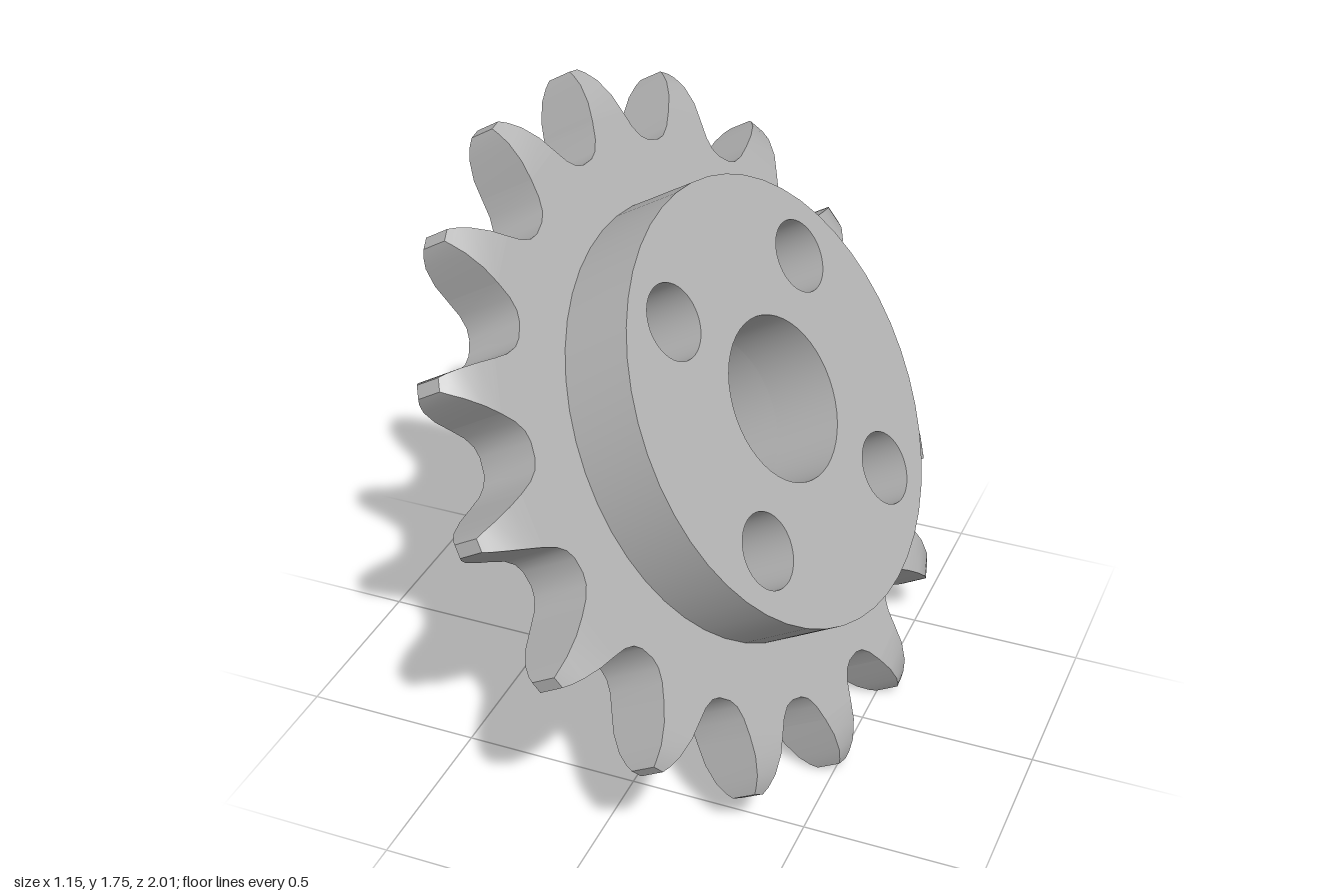
import * as THREE from 'three';
import { toCreasedNormals } from 'three/addons/utils/BufferGeometryUtils.js';

const TEETH = 16, STEP = (Math.PI * 2) / TEETH;
const BACK = -0.094, FRONT = 0.085, HUB_FACE = 0.294; // positions along the axle
const deg = Math.PI / 180;

// Tooth flank: radius, half angle in degrees, thickness factor
const FLANK = [
  [0.87, 4.6, 1], [0.92, 3.4, 0.97], [0.97, 2.25, 0.8], [1.0, 1.5, 0.58], [1.015, 1.0, 0.42],
];
// Valley between teeth: radius, angle from the tooth centre in degrees
const VALLEY = [[0.87, 4.6], [0.825, 6.0], [0.797, 7.7], [0.785, 9.7]];

const polar = (r, a) => new THREE.Vector2(r * Math.sin(a), r * Math.cos(a));

// Axle bore and four bolt holes
function addHoles(shape) {
  const hole = (x, y, r) => shape.holes.push(new THREE.Path().absarc(x, y, r, 0, Math.PI * 2, true));
  hole(0, 0, 0.23);
  for (let i = 0; i < 4; i++) {
    const c = polar(0.45, -35.5 * deg + (i * Math.PI) / 2);
    hole(c.x, c.y, 0.104);
  }
  return shape;
}

function extrude(shape, from, to, curveSegments) {
  const geo = new THREE.ExtrudeGeometry(shape, { depth: to - from, bevelEnabled: false, curveSegments });
  geo.translate(0, 0, from);
  return toCreasedNormals(geo, 0.6);
}

// Plate outline, counter-clockwise: rounded valleys, straight chords where the teeth attach
function plateShape() {
  const pts = [];
  for (let i = 0; i < TEETH; i++) {
    const a = -(i + 0.5) * STEP;
    VALLEY.forEach(([r, d]) => pts.push(polar(r, a - d * deg)));
    [...VALLEY].reverse().forEach(([r, d]) => pts.push(polar(r, a - STEP + d * deg)));
  }
  return addHoles(new THREE.Shape(pts));
}

// One tooth pointing to +y, lofted through rectangles that thin toward the tip
function toothGeometry() {
  const pos = [], index = [];
  const mid = (FRONT + BACK) / 2, half = (FRONT - BACK) / 2;
  FLANK.forEach(([r, d, k]) => {
    const x = r * Math.sin(d * deg), y = r * Math.cos(d * deg), t = half * k;
    pos.push(-x, y, mid + t, x, y, mid + t, x, y, mid - t, -x, y, mid - t);
  });
  const last = FLANK.length - 1;
  for (let i = 0; i < last; i++) {
    for (let j = 0; j < 4; j++) {
      const a = i * 4 + j, b = i * 4 + ((j + 1) % 4);
      index.push(a, b, b + 4, a, b + 4, a + 4);
    }
  }
  const c = last * 4;
  index.push(c, c + 1, c + 2, c, c + 2, c + 3);
  const geo = new THREE.BufferGeometry();
  geo.setAttribute('position', new THREE.Float32BufferAttribute(pos, 3));
  geo.setIndex(index);
  return toCreasedNormals(geo, 0.5);
}

export function createModel() {
  const steel = new THREE.MeshStandardMaterial({ color: 0xb6b6b6 });
  steel.name = 'steel grey';
  const model = new THREE.Group();
  model.name = 'sprocket';
  const wheel = new THREE.Group();
  wheel.name = 'tiltedWheel';
  model.add(wheel);

  const add = (geo, name) => {
    const mesh = new THREE.Mesh(geo, steel);
    mesh.name = name;
    wheel.add(mesh);
    return mesh;
  };

  // Toothed plate
  add(extrude(plateShape(), BACK, FRONT, 24), 'plate');

  // Raised hub
  const disc = new THREE.Shape().absarc(0, 0, 0.622, 0, Math.PI * 2, false);
  add(extrude(addHoles(disc), FRONT, HUB_FACE, 24), 'hub');

  // Teeth
  const tooth = toothGeometry();
  for (let i = 0; i < TEETH; i++) {
    add(tooth, 'tooth').rotation.z = -(i + 0.5) * STEP;
  }

  // Tilt the axle up and slightly forward
  const n = new THREE.Vector3(0.85, 0.52, 0.085).normalize();
  const u = new THREE.Vector3(0, 1, 0).cross(n).normalize();
  const v = n.clone().cross(u);
  wheel.quaternion.setFromRotationMatrix(new THREE.Matrix4().makeBasis(u, v, n));
  wheel.position.set(0, 0.87, 0);
  return model;
}
